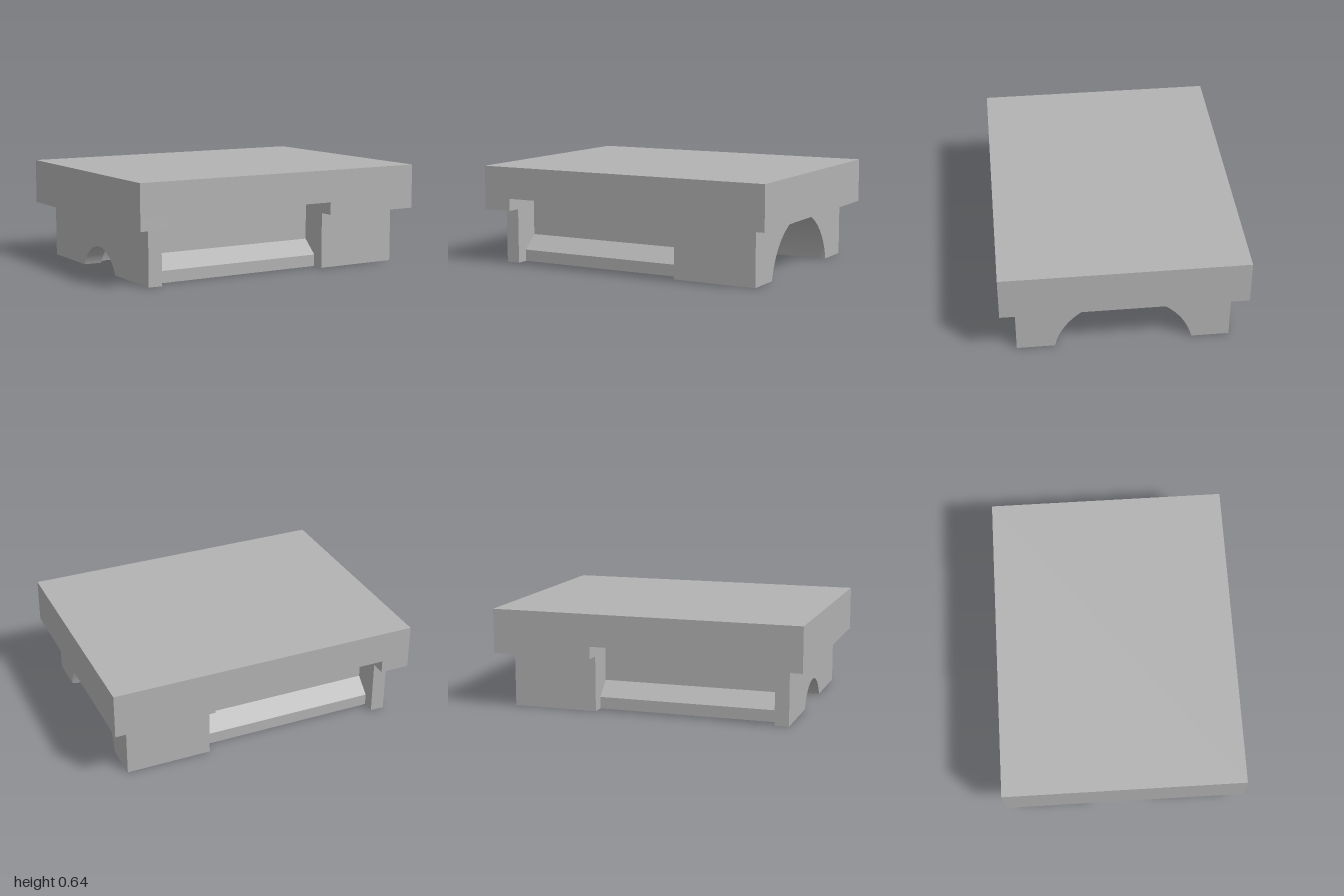
import * as THREE from 'three';
import { mergeGeometries, toCreasedNormals } from 'three/addons/utils/BufferGeometryUtils.js';

const AXIS = -0.09; // bore axis lies just below the base
const SEG = 64;

// Bore profile along x: [x, radius]
const PROFILE = [
  [0.9, 0.44], [0.86, 0.428], [0.48, 0.425], [0.44, 0.422], [0.36, 0.412], [0.32, 0.41],
  [-0.33, 0.41], [-0.355, 0.406], [-0.375, 0.396], [-0.388, 0.38], [-0.392, 0.365],
  [-0.392, 0.25], [-0.396, 0.236], [-0.406, 0.224], [-0.425, 0.217],
  [-0.51, 0.217], [-0.51, 0.3], [-0.72, 0.3], [-0.75, 0.293], [-0.775, 0.27],
  [-0.78, 0.24], [-0.9, 0.24],
];
const halfWidth = r => Math.sqrt(r * r - AXIS * AXIS);

// Half outline of the plan with the long side notch, from -x to +x
const halfPlan = (X, Z) => [[-X, Z], [-0.81, Z], [-0.81, 0.49], [0.35, 0.49], [0.35, Z], [X, Z]];
const toShape = pts => new THREE.Shape(pts.map(p => new THREE.Vector2(p[0], p[1])));

// Vertical wall between two plan points
function wall([x0, z0], [x1, z1], y0, y1) {
  const g = new THREE.PlaneGeometry(Math.hypot(x1 - x0, z1 - z0), y1 - y0);
  g.rotateY(Math.atan2(z0 - z1, x1 - x0));
  return g.translate((x0 + x1) / 2, (y0 + y1) / 2, (z0 + z1) / 2);
}

// Stepped bore, each ring trimmed at the base plane
function boreGeometry() {
  const pos = [], index = [], n = SEG + 1;
  PROFILE.forEach(([x, r]) => {
    const a = Math.asin(-AXIS / r);
    for (let j = 0; j <= SEG; j++) {
      const t = a + (Math.PI - 2 * a) * j / SEG;
      pos.push(x, Math.max(0, AXIS + r * Math.sin(t)), r * Math.cos(t));
    }
  });
  for (let i = 0; i < PROFILE.length - 1; i++) {
    for (let j = 0; j < SEG; j++) {
      const a = i * n + j, b = a + n;
      index.push(a, a + 1, b, b, a + 1, b + 1);
    }
  }
  const g = new THREE.BufferGeometry();
  g.setAttribute('position', new THREE.Float32BufferAttribute(pos, 3));
  g.setIndex(index);
  // Face the surface toward the bore axis
  g.computeVertexNormals();
  if (g.attributes.normal.getY(SEG / 2) > 0) g.setIndex(index.reverse());
  g.deleteAttribute('normal');
  return toCreasedNormals(g, 0.6);
}

// End face with an arched opening
function endFace(r, side) {
  const a = Math.asin(-AXIS / r), w = halfWidth(r);
  const s = new THREE.Shape();
  s.moveTo(-0.67, 0);
  s.lineTo(-w, 0);
  s.absarc(0, AXIS, r, Math.PI - a, a, true);
  s.lineTo(0.67, 0);
  s.lineTo(0.67, 0.355);
  s.lineTo(-0.67, 0.355);
  s.closePath();
  return new THREE.ShapeGeometry(s, SEG).rotateY(side * Math.PI / 2).translate(side * 0.9, 0, 0);
}

export function createModel() {
  const grey = new THREE.MeshStandardMaterial({ color: 0xb2b2b2 });
  grey.name = 'grey';
  const sheetGrey = grey;
  sheetGrey.side = THREE.DoubleSide;
  const group = new THREE.Group();
  group.name = 'bearingBlock';
  const add = (name, geometry) => {
    const m = new THREE.Mesh(geometry, sheetGrey);
    m.name = name;
    group.add(m);
  };

  // Top slab and its notched lower layer
  add('topSlab', new THREE.BoxGeometry(2, 0.205, 1.53).translate(0, 0.5375, 0));
  const rim = halfPlan(1, 0.765);
  const rimLoop = [...rim, ...rim.map(([x, z]) => [x, -z]).reverse()];
  add('slabRim', new THREE.ExtrudeGeometry(toShape(rimLoop), { depth: 0.08, bevelEnabled: false })
    .rotateX(Math.PI / 2).translate(0, 0.435, 0));

  // Lower body: side walls and underside for both halves
  for (const s of [1, -1]) {
    const tag = s > 0 ? 'front' : 'back';
    const outer = halfPlan(0.9, 0.67).map(([x, z]) => [x, s * z]);
    const path = s > 0 ? outer : [...outer].reverse();
    add(tag + 'BodyWalls', mergeGeometries(path.slice(1).map((p, i) => wall(path[i], p, 0, 0.355))));
    const inner = PROFILE.map(([x, r]) => [x, s * halfWidth(r)]);
    add(tag + 'Underside', new THREE.ShapeGeometry(toShape([...outer, ...inner])).rotateX(Math.PI / 2));

    // Sloped lip along the bottom of the notch
    const lip = toShape([[0.48, 0], [0.59, 0], [0.59, 0.075], [0.49, 0.165], [0.48, 0.165]]
      .map(([z, y]) => [-s * z, y]));
    add(tag + 'NotchLip', new THREE.ExtrudeGeometry(lip, { depth: 1.16, bevelEnabled: false })
      .rotateY(Math.PI / 2).translate(-0.81, 0, 0));
  }

  // Arched ends and the stepped bore
  add('wideEnd', endFace(PROFILE[0][1], 1));
  add('narrowEnd', endFace(PROFILE[PROFILE.length - 1][1], -1));
  add('bore', boreGeometry());
  return group;
}
